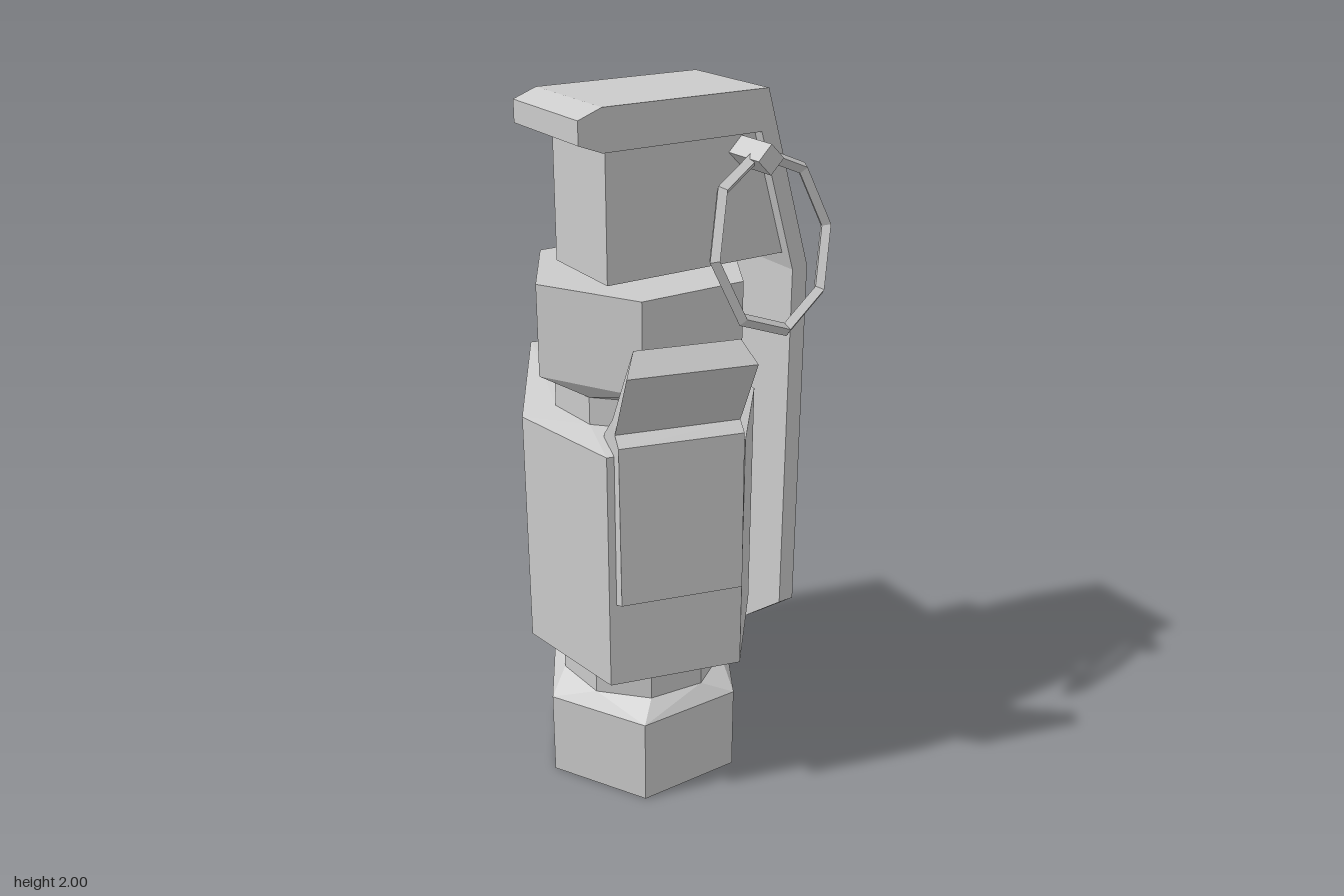
import * as THREE from 'three';
import { ConvexGeometry } from 'three/addons/geometries/ConvexGeometry.js';

const AXIS_X = -0.1, AXIS_Z = 0.06, TWIST = Math.PI / 12;
const material = new THREE.MeshStandardMaterial({ color: 0xcccccc, flatShading: true });

function add(parent, name, geometry) {
  const mesh = new THREE.Mesh(geometry, material);
  mesh.name = name;
  parent.add(mesh);
  return mesh;
}

// Regular polygon of points around the main axis
function ring(sides, radius, y, degrees) {
  return Array.from({ length: sides }, (_, i) => {
    const a = THREE.MathUtils.degToRad(degrees + i * 360 / sides);
    return new THREE.Vector3(AXIS_X + radius * Math.cos(a), y, AXIS_Z + radius * Math.sin(a));
  });
}
const hex = (y) => ring(6, 0.31, y, -15);
const neck = (y) => ring(9, 0.24, y, 20);

function extrude(points, depth, steps = 1) {
  const shape = new THREE.Shape(points.map(([x, y]) => new THREE.Vector2(x, y)));
  return new THREE.ExtrudeGeometry(shape, { depth, steps, bevelEnabled: false });
}

// Applies a rule to every vertex
function reshape(geometry, rule) {
  const pos = geometry.attributes.position, v = new THREE.Vector3();
  for (let i = 0; i < pos.count; i++) {
    rule(v.fromBufferAttribute(pos, i));
    pos.setXYZ(i, v.x, v.y, v.z);
  }
  geometry.computeVertexNormals();
  return geometry;
}

export function createModel() {
  const model = new THREE.Group();
  model.name = 'model';

  // Hexagonal end caps, bevelled into the necks
  add(model, 'bottomCap', new ConvexGeometry([...hex(0), ...hex(0.26), ...neck(0.305)]));
  add(model, 'topCap', new ConvexGeometry([...neck(1.235), ...hex(1.28), ...hex(1.535)]));
  add(model, 'lowerNeck', new ConvexGeometry([...neck(0.29), ...neck(0.43)]));
  add(model, 'upperNeck', new ConvexGeometry([...neck(1.14), ...neck(1.25)]));

  // Irregular six-sided body
  const outline = [[-0.285, -0.51], [0.09, -0.51], [0.245, 0.06], [0.095, 0.385], [-0.285, 0.385], [-0.435, 0.06]];
  const section = (y) => outline.map(([x, z]) => new THREE.Vector3(x, y, z));
  add(model, 'body', new ConvexGeometry([...neck(0.415), ...section(0.438), ...section(1.135), ...neck(1.157)]));

  // Front clip with an outward flap, narrower at its tip
  const clip = extrude([
    [0.29, 0.695], [0.388, 0.695], [0.438, 0.72], [0.428, 1.175], [0.395, 1.2],
    [0.51, 1.395], [0.465, 1.45], [0.375, 1.235], [0.29, 1.16],
  ], 0.34);
  clip.rotateY(-Math.PI / 2).translate(0.075, 0, 0);
  add(model, 'frontClip', reshape(clip, (v) => {
    if (v.y > 1.44) v.x = -0.095 + (v.x + 0.095) * 0.82;
  }));

  // Head assembly, turned about the main axis
  const head = new THREE.Group();
  head.name = 'headAssembly';
  head.position.set(AXIS_X, 0, AXIS_Z);
  head.rotation.y = TWIST;
  model.add(head);

  add(head, 'headBlock', extrude([[-0.175, 1.543], [0.382, 1.543], [0.277, 1.895], [-0.175, 1.895]], 0.27)
    .translate(0, 0, -0.135));

  // Bent lever with a pointed lower end
  const lever = extrude([
    [-0.267, 1.915], [-0.267, 1.975], [-0.2, 2], [0.294, 2], [0.443, 1.505], [0.443, 0.44],
    [0.393, 0.44], [0.393, 1.5], [0.275, 1.89], [-0.2, 1.89],
  ], 0.336, 2).translate(0, 0, -0.168);
  add(head, 'lever', reshape(lever, (v) => {
    if (v.y < 0.5 && Math.abs(v.z) < 0.01) v.y = 0.305;
  }));

  // Pin that holds the ring
  const pin = add(head, 'pin', new THREE.CylinderGeometry(0.04, 0.04, 0.17, 4).rotateX(Math.PI / 2));
  pin.position.set(0.235, 1.84, 0.18);

  // Eight-sided pull ring hanging at a tilt
  const pullRing = add(model, 'pullRing', new THREE.TorusGeometry(0.234, 0.018, 4, 8));
  const side = new THREE.Vector3(0.86, 0, -0.5).normalize();
  const normal = side.clone().cross(new THREE.Vector3(-0.12, 0.975, -0.185)).normalize();
  const up = normal.clone().cross(side);
  pullRing.quaternion.setFromRotationMatrix(new THREE.Matrix4().makeBasis(side, up, normal));
  pullRing.position.set(0.213, 1.62, 0.24);

  return model;
}
